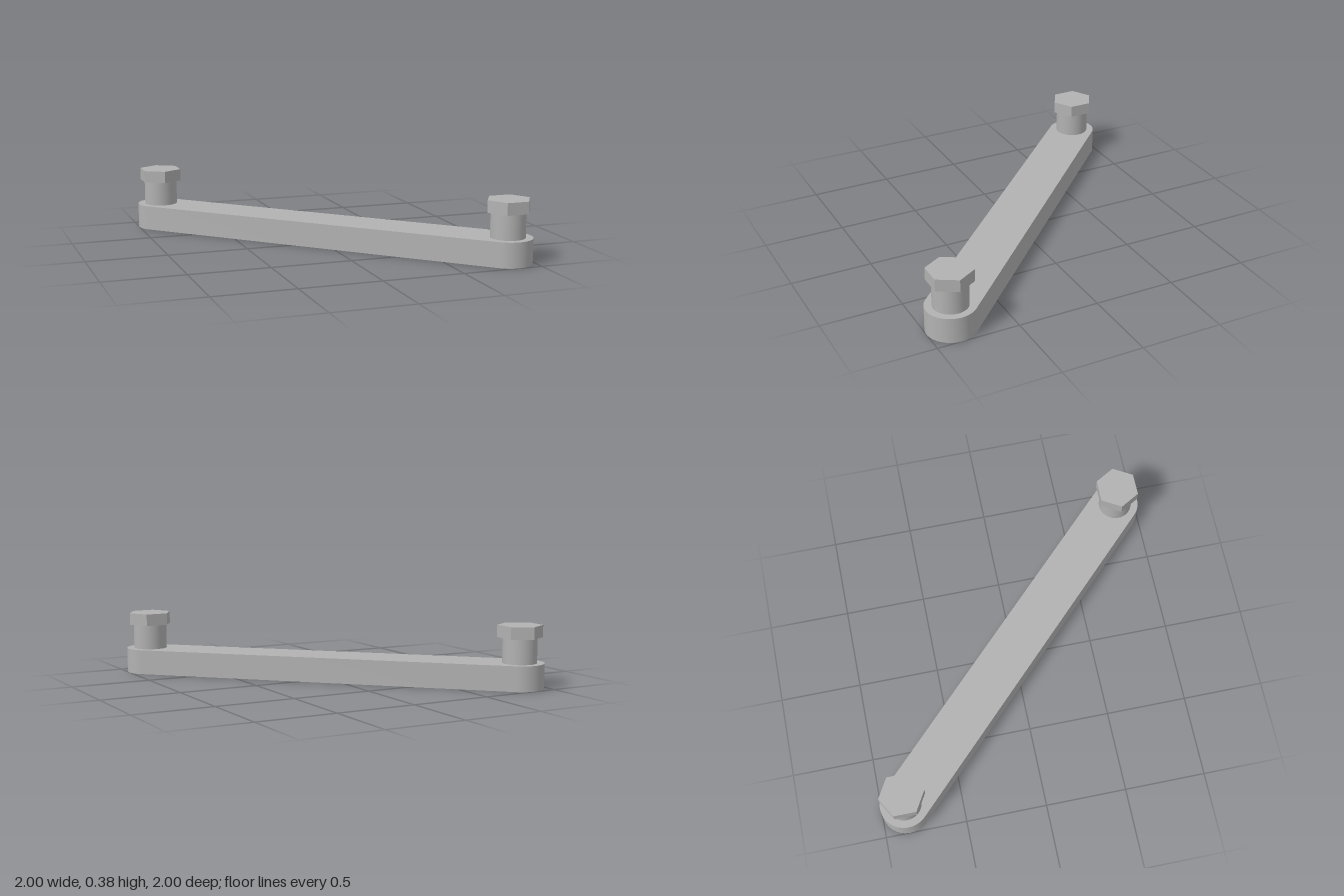
import * as THREE from 'three';
import { toCreasedNormals } from 'three/addons/utils/BufferGeometryUtils.js';

const END = 0.85;          // bolt offset from the centre on x and z
const BAR_RADIUS = 0.15;
const BAR_TOP = 0.155;
const HEAD_BASE = 0.31;
const HEAD_TOP = 0.385;

const steel = new THREE.MeshStandardMaterial({ color: 0xb2b2b2 });
steel.name = 'steel grey';

// Cylinder or prism standing between two heights
function post(name, radius, y0, y1, sides, flat) {
  let geometry = new THREE.CylinderGeometry(radius, radius, y1 - y0, sides);
  if (flat) geometry = toCreasedNormals(geometry, 0.5);
  const mesh = new THREE.Mesh(geometry, steel);
  mesh.name = name;
  mesh.position.y = (y0 + y1) / 2;
  return mesh;
}

// Round shank with a hexagonal head
function bolt(name, x, z, headTurn) {
  const group = new THREE.Group();
  group.name = name;
  const head = post('hexHead', 0.138, HEAD_BASE, HEAD_TOP, 6, true);
  head.rotation.y = headTurn;
  group.add(post('shank', 0.105, BAR_TOP, HEAD_BASE, 48, false), head);
  group.position.set(x, 0, z);
  return group;
}

// Flat bar with fully rounded ends, laid along the diagonal
function linkBar() {
  const half = END * Math.SQRT2;
  const outline = new THREE.Shape();
  outline.absarc(half, 0, BAR_RADIUS, -Math.PI / 2, Math.PI / 2, false);
  outline.absarc(-half, 0, BAR_RADIUS, Math.PI / 2, Math.PI * 1.5, false);
  outline.closePath();
  const geometry = new THREE.ExtrudeGeometry(outline, {
    depth: BAR_TOP, bevelEnabled: false, curveSegments: 24,
  });
  geometry.rotateX(-Math.PI / 2);
  geometry.rotateY(-Math.PI / 4);
  const mesh = new THREE.Mesh(toCreasedNormals(geometry, 0.5), steel);
  mesh.name = 'linkBar';
  return mesh;
}

export function createModel() {
  const model = new THREE.Group();
  model.name = 'boltedLink';
  model.add(
    linkBar(),
    bolt('backBolt', -END, -END, 0),
    bolt('frontBolt', END, END, Math.PI / 6),
  );
  return model;
}
